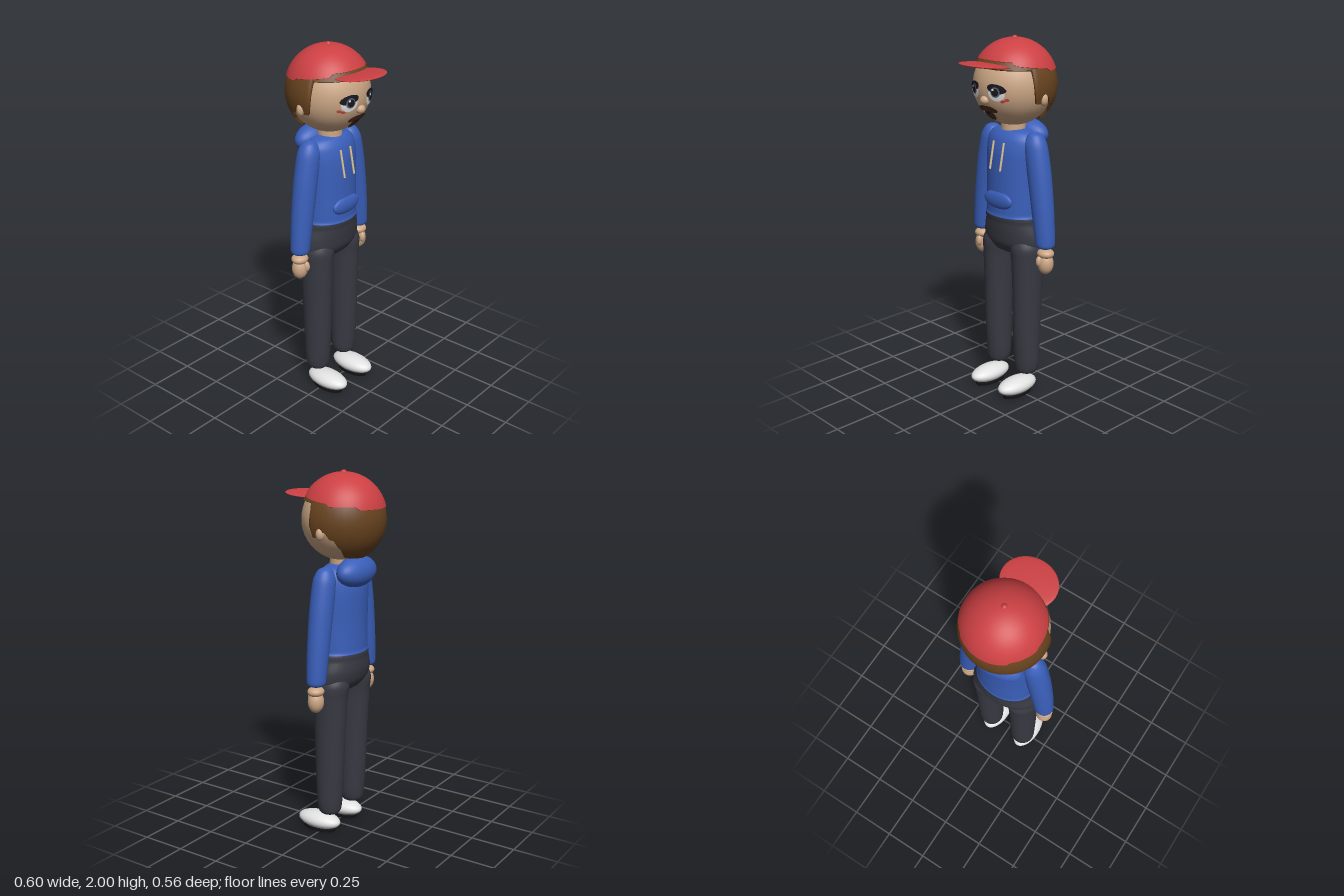
import * as THREE from 'three';

const mat = (name, color, side = THREE.FrontSide) => {
  const m = new THREE.MeshStandardMaterial({ color, side });
  m.name = name;
  return m;
};
const M = {
  skin: mat('skin', 0xcba685), hair: mat('hairBrown', 0x68431f),
  red: mat('capRed', 0xcc4043), blue: mat('hoodieBlue', 0x3a5fba),
  pants: mat('trouserCharcoal', 0x393943), white: mat('white', 0xe2e2e2),
  black: mat('black', 0x17171c), cord: mat('cordCream', 0xd6c09a),
  beard: mat('beardBrown', 0x4a2c18), iris: mat('irisGrey', 0x555e74),
};
const HEAD = new THREE.Vector3(0, 1.745, -0.05), HEAD_R = 0.216;

// closed tube of points, rows running top to bottom, columns running from front to +x
function grid(rows, n, fn) {
  const pos = [], idx = [];
  for (let i = 0; i < rows; i++) {
    for (let j = 0; j < n; j++) {
      pos.push(...fn(i, (j / n) * Math.PI * 2));
      if (i === rows - 1) continue;
      const a = i * n + j, b = i * n + ((j + 1) % n);
      idx.push(a, a + n, b, b, a + n, b + n);
    }
  }
  const g = new THREE.BufferGeometry();
  g.setAttribute('position', new THREE.Float32BufferAttribute(pos, 3));
  g.setIndex(idx);
  g.computeVertexNormals();
  return g;
}

// smooth body through elliptical sections [x, y, z, rx, rz]
function loft(sections, rows = 40, n = 36) {
  const mid = new THREE.CatmullRomCurve3(sections.map(s => new THREE.Vector3(s[0], s[1], s[2])), false, 'catmullrom', 0.4);
  const rad = new THREE.CatmullRomCurve3(sections.map(s => new THREE.Vector3(s[3], s[4], 0)), false, 'catmullrom', 0.4);
  return grid(rows, n, (i, a) => {
    const t = i / (rows - 1), c = mid.getPoint(t), r = rad.getPoint(t);
    return [c.x + Math.sin(a) * r.x, c.y, c.z + Math.cos(a) * r.y];
  });
}

// spherical shell whose lower edge height depends on the angle from the front
function shell(c, r, edgeY, thick) {
  const last = 22;
  return grid(last + 3, 120, (i, a) => {
    const deg = THREE.MathUtils.radToDeg(a > Math.PI ? Math.PI * 2 - a : a);
    const end = Math.acos((edgeY(deg) - c.y) / r);
    const p = end * Math.min(i, last) / last, R = i > last + 1 ? r - thick : r;
    return [c.x + R * Math.sin(p) * Math.sin(a), c.y + R * Math.cos(p), c.z + R * Math.sin(p) * Math.cos(a)];
  });
}

// height interpolated between [degrees, y] stops
const stops = list => d => {
  let k = 1;
  while (k < list.length - 1 && d > list[k][0]) k++;
  const [d0, y0] = list[k - 1], [d1, y1] = list[k];
  return THREE.MathUtils.lerp(y0, y1, THREE.MathUtils.clamp((d - d0) / (d1 - d0), 0, 1));
};

// elliptical plate that follows the curve of the face
function facePatch(x, y, a, b, lift, turn = 0) {
  const g = new THREE.RingGeometry(0.001, 1, 28, 5);
  g.scale(a, b, 1).rotateZ(turn).translate(x, y - HEAD.y, 0);
  const p = g.attributes.position, R = HEAD_R + lift;
  for (let i = 0; i < p.count; i++) {
    p.setZ(i, Math.sqrt(R * R - p.getX(i) ** 2 - p.getY(i) ** 2));
  }
  g.translate(HEAD.x, HEAD.y, HEAD.z);
  g.computeVertexNormals();
  return g;
}

export function createModel() {
  const model = new THREE.Group();
  model.name = 'manInCap';
  const add = (name, geo, material) => {
    const m = new THREE.Mesh(geo, material);
    m.name = name;
    model.add(m);
    return m;
  };
  const ball = (name, material, [x, y, z], [rx, ry, rz], tilt = 0) => {
    const m = add(name, new THREE.SphereGeometry(1, 36, 24), material);
    m.position.set(x, y, z);
    m.scale.set(rx, ry, rz);
    m.rotation.x = tilt;
    return m;
  };

  // head, neck and nose
  ball('head', M.skin, HEAD.toArray(), [HEAD_R, HEAD_R, HEAD_R]);
  add('neck', new THREE.CylinderGeometry(0.065, 0.068, 0.12, 32), M.skin).position.set(0, 1.53, -0.05);
  ball('nose', M.skin, [0, 1.685, 0.155], [0.027, 0.024, 0.026]);

  // hair: thin fringe, sideburns and full back
  add('hair', shell(new THREE.Vector3(0, 1.745, -0.053), 0.23, stops([
    [0, 1.85], [73, 1.845], [76, 1.67], [90, 1.668], [92, 1.70], [101, 1.70], [103, 1.665], [112, 1.66],
    [115, 1.625], [121, 1.61], [125, 1.565], [140, 1.555], [180, 1.55]]), 0.018), M.hair);

  // cap: dome, button and visor
  add('capDome', shell(new THREE.Vector3(0, 1.762, -0.057), 0.228, stops([
    [0, 1.89], [42, 1.885], [48, 1.868], [78, 1.855], [100, 1.845], [103, 1.832], [140, 1.832], [145, 1.815], [180, 1.812]]), 0.014), M.red);
  ball('capButton', M.red, [0, 1.985, -0.057], [0.016, 0.015, 0.016]);
  ball('capVisor', M.red, [0, 1.865, 0.155], [0.147, 0.012, 0.126], -0.09);

  // moustache, goatee and mouth
  add('goatee', facePatch(0, 1.602, 0.035, 0.03, 0.005), M.beard);
  add('mouth', facePatch(0, 1.617, 0.025, 0.006, 0.008), M.black);

  // hoodie body, hood and pocket
  add('hoodieBody', loft([[0, 1.515, -0.05, 0.05, 0.045], [0, 1.50, -0.05, 0.125, 0.075], [0, 1.46, -0.052, 0.162, 0.103],
    [0, 1.38, -0.053, 0.168, 0.122], [0, 1.2, -0.05, 0.165, 0.124], [0, 1.06, -0.05, 0.166, 0.126],
    [0, 1.035, -0.05, 0.163, 0.122], [0, 1.035, -0.05, 0.01, 0.01]], 60), M.blue);
  ball('hood', M.blue, [0, 1.475, -0.14], [0.155, 0.083, 0.078], 0.2);
  ball('pocket', M.blue, [0, 1.13, 0.065], [0.105, 0.05, 0.024]);

  // trousers seat
  add('trouserSeat', loft([[0, 1.05, -0.05, 0.01, 0.01], [0, 1.05, -0.05, 0.16, 0.12], [0, 1.0, -0.053, 0.178, 0.125],
    [0, 0.94, -0.056, 0.196, 0.122], [0, 0.88, -0.053, 0.195, 0.108], [0, 0.83, -0.05, 0.15, 0.07],
    [0, 0.81, -0.05, 0.01, 0.01]], 50), M.pants);

  for (const s of [-1, 1]) {
    const side = s > 0 ? 'left' : 'right';

    // face details
    ball(side + 'Ear', M.skin, [s * 0.215, 1.69, -0.057], [0.024, 0.034, 0.023]);
    add(side + 'EyeWhite', facePatch(s * 0.08, 1.728, 0.043, 0.04, 0.004), M.white);
    add(side + 'EyeLid', facePatch(s * 0.081, 1.752, 0.05, 0.024, 0.006, s * -0.15), M.black);
    add(side + 'EyeIris', facePatch(s * 0.078, 1.735, 0.025, 0.027, 0.007), M.iris);
    add(side + 'EyePupil', facePatch(s * 0.078, 1.735, 0.018, 0.02, 0.009), M.black);
    add(side + 'EyeGlint', facePatch(s * 0.078 - 0.009, 1.748, 0.006, 0.006, 0.0105), M.white);
    add(side + 'LashTip', facePatch(s * 0.122, 1.742, 0.012, 0.007, 0.006, s * 0.5), M.black);
    for (const [dx, dy] of [[0, 0], [0.02, 0.008]]) {
      add(side + 'CheekMark', facePatch(s * (0.108 + dx), 1.688 + dy, 0.011, 0.008, 0.004, s * 0.4), M.red);
    }
    add(side + 'Moustache', facePatch(s * 0.03, 1.638, 0.038, 0.016, 0.007, s * -0.2), M.beard);

    // hoodie cords
    const cord = new THREE.LineCurve3(new THREE.Vector3(s * 0.039, 1.45, 0.058), new THREE.Vector3(s * 0.039, 1.30, 0.087));
    add(side + 'Cord', new THREE.TubeGeometry(cord, 1, 0.006, 10), M.cord);

    // sleeve and hand
    add(side + 'Sleeve', loft([[s * 0.16, 1.513, -0.05, 0.008, 0.008], [s * 0.163, 1.495, -0.05, 0.04, 0.038],
      [s * 0.168, 1.44, -0.05, 0.065, 0.06], [s * 0.195, 1.3, -0.05, 0.067, 0.063], [s * 0.222, 1.12, -0.05, 0.063, 0.06],
      [s * 0.242, 0.95, -0.05, 0.056, 0.054], [s * 0.246, 0.9, -0.05, 0.049, 0.047], [s * 0.247, 0.882, -0.05, 0.008, 0.008]], 56), M.blue);
    ball(side + 'Wrist', M.skin, [s * 0.25, 0.86, -0.05], [0.048, 0.028, 0.044]);
    ball(side + 'Hand', M.skin, [s * 0.25, 0.803, -0.05], [0.045, 0.06, 0.043]);
    ball(side + 'Thumb', M.skin, [s * 0.238, 0.82, -0.013], [0.017, 0.03, 0.019]);

    // trouser leg
    add(side + 'TrouserLeg', loft([[s * 0.1, 0.95, -0.053, 0.06, 0.07], [s * 0.108, 0.87, -0.053, 0.09, 0.1],
      [s * 0.113, 0.78, -0.05, 0.084, 0.094], [s * 0.114, 0.6, -0.048, 0.077, 0.087], [s * 0.114, 0.35, -0.046, 0.073, 0.079],
      [s * 0.114, 0.18, -0.046, 0.07, 0.068], [s * 0.114, 0.125, -0.046, 0.055, 0.055], [s * 0.114, 0.104, -0.046, 0.008, 0.008]], 56), M.pants);

    // shoe and sole
    ball(side + 'Shoe', M.white, [s * 0.112, 0.055, 0.026], [0.07, 0.047, 0.133]);
    const sole = add(side + 'Sole', new THREE.CylinderGeometry(1, 0.93, 0.018, 36), M.black);
    sole.position.set(s * 0.112, 0.009, 0.026);
    sole.scale.set(0.054, 1, 0.106);
  }
  return model;
}
